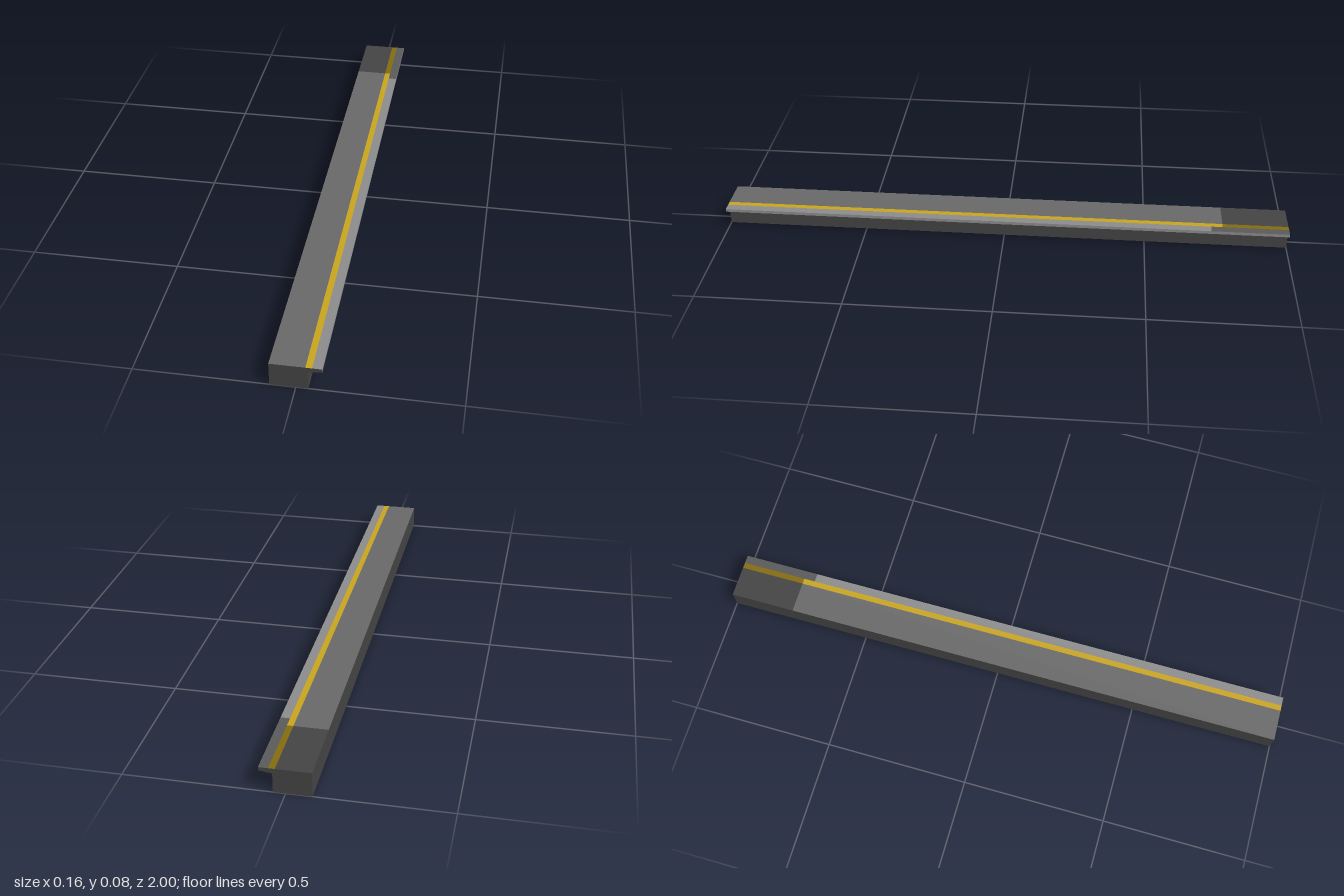
import * as THREE from 'three';

const material = (name, color) => {
  const m = new THREE.MeshStandardMaterial({ color, side: THREE.DoubleSide });
  m.name = name;
  return m;
};

export function createModel() {
  const group = new THREE.Group();
  group.name = 'platform';

  const wall = material('dark concrete', 0x444444);
  const paving = material('grey paving', 0x686868);
  const edge = material('light edge stone', 0x8c8c8c);
  const edgeDark = material('dark edge stone', 0x5a5a5a);
  const yellow = material('yellow line', 0xc8a41e);
  const yellowDark = material('dark yellow line', 0x846c10);

  // Cross-section, clockwise from the foot of the back wall; the underside is open
  const H = 0.082;
  const foot = [-0.08, 0], topBack = [-0.08, H], lineIn = [0.03, H], lineOut = [0.05, H];
  const lipTop = [0.08, H], lipLow = [0.08, 0.071], lipRoot = [0.038, 0.065], footTrack = [0.038, 0];

  // Flat strip between two profile points, running from z0 (back) to z1 (front)
  const strip = (name, a, b, z0, z1, mat) => {
    const g = new THREE.BufferGeometry();
    g.setAttribute('position', new THREE.Float32BufferAttribute([
      ...a, z1, ...b, z1, ...b, z0,
      ...a, z1, ...b, z0, ...a, z0,
    ], 3));
    g.computeVertexNormals();
    const mesh = new THREE.Mesh(g, mat);
    mesh.name = name;
    group.add(mesh);
  };

  // Walls and overhanging lip
  strip('backWall', foot, topBack, -1, 1, wall);
  strip('lipEdge', lipTop, lipLow, -1, 1, edge);
  strip('lipUnderside', lipLow, lipRoot, -1, 1, wall);
  strip('trackWall', lipRoot, footTrack, -1, 1, wall);

  // Top surface: long light section and a short dark section at the back end
  const top = [
    ['paving', topBack, lineIn, -0.77, paving, wall],
    ['safetyLine', lineIn, lineOut, -0.77, yellow, yellowDark],
    ['edgeStone', lineOut, lipTop, -0.73, edge, edgeDark],
  ];
  for (const [name, a, b, split, light, dark] of top) {
    strip(name, a, b, split, 1, light);
    strip(name + 'Dark', a, b, -1, split, dark);
  }

  // End walls
  const outline = [foot, footTrack, lipRoot, lipLow, lipTop, topBack];
  const shape = new THREE.Shape(outline.map(([x, y]) => new THREE.Vector2(x, y)));
  for (const z of [-1, 1]) {
    const end = new THREE.Mesh(new THREE.ShapeGeometry(shape), wall);
    end.name = z > 0 ? 'frontEnd' : 'backEnd';
    end.position.z = z;
    group.add(end);
  }
  return group;
}
